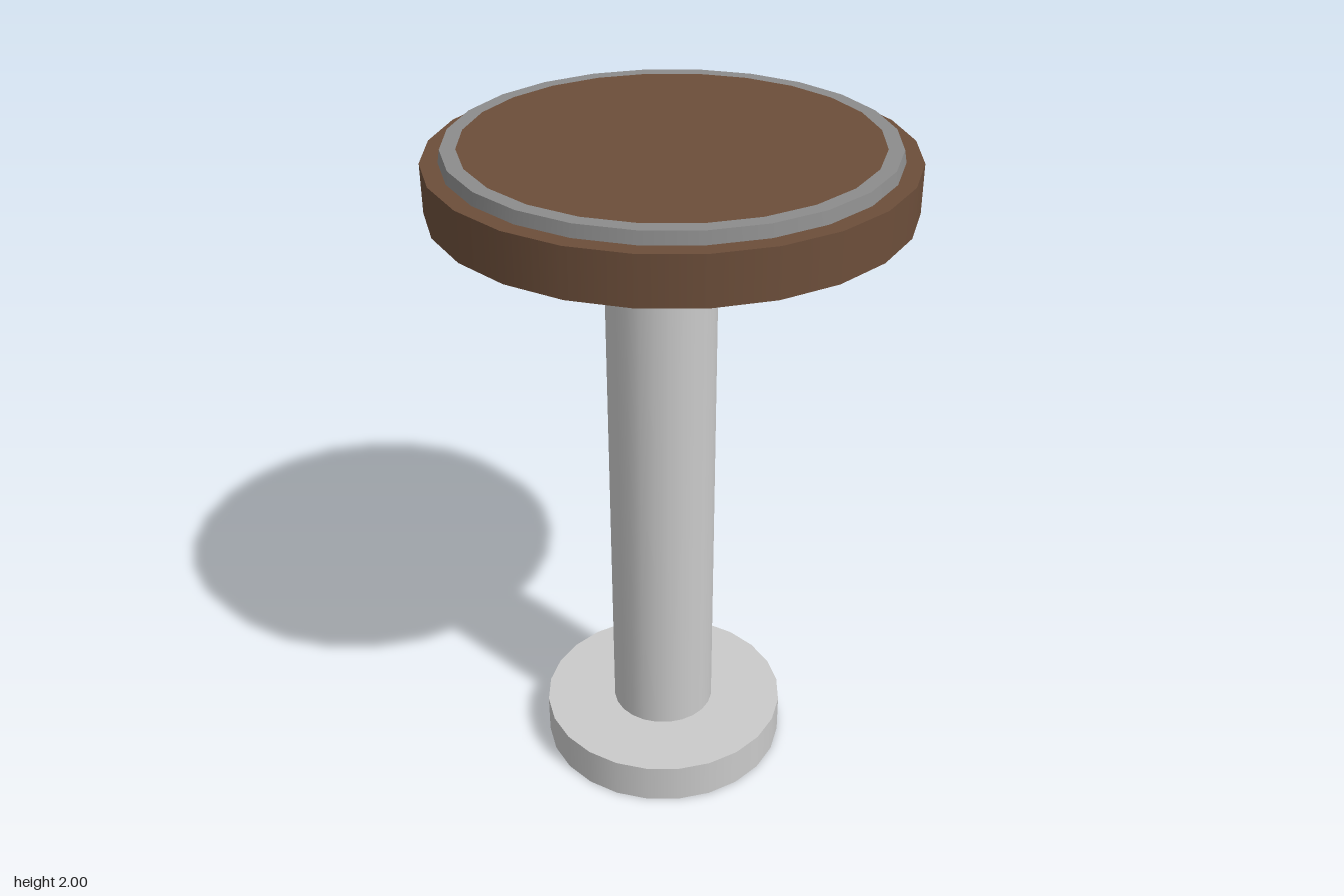
import * as THREE from 'three';

const SIDES = 24;
const TURN = 0.172; // rotation of the seat's facets

export function createModel() {
  const group = new THREE.Group();
  group.name = 'stool';

  const metal = new THREE.MeshStandardMaterial({ name: 'light metal', color: 0xcacaca });
  const leather = new THREE.MeshStandardMaterial({ name: 'brown leather', color: 0x6c4e3a, side: THREE.DoubleSide });
  const trim = new THREE.MeshStandardMaterial({ name: 'grey trim', color: 0x8c8c8c, side: THREE.DoubleSide });

  const add = (name, geometry, material, x, y, z) => {
    const mesh = new THREE.Mesh(geometry, material);
    mesh.name = name;
    mesh.position.set(x, y, z);
    group.add(mesh);
  };

  // Open wall between two heights
  const wall = (name, rTop, rBottom, y0, y1, material) =>
    add(name, new THREE.CylinderGeometry(rTop, rBottom, y1 - y0, SIDES, 1, true, TURN), material, 0, (y0 + y1) / 2, 0);

  // Flat upward ring; its corners line up with the walls
  const ring = (name, inner, outer, y, material) => {
    const geometry = new THREE.RingGeometry(inner, outer, SIDES, 1, TURN - Math.PI / 2);
    geometry.rotateX(-Math.PI / 2);
    add(name, geometry, material, 0, y, 0);
  };

  // Foot and post, set slightly off the seat's centre
  add('base', new THREE.CylinderGeometry(0.376, 0.376, 0.125, SIDES, 1, false, TURN), metal, -0.025, 0.0625, -0.015);
  add('post', new THREE.CylinderGeometry(0.158, 0.158, 1.87, SIDES, 1, false, TURN), metal, -0.027, 1.06, -0.013);

  // Seat: a thin stepped shell, hollow underneath
  wall('seatSide', 0.657, 0.657, 1.83, 1.966, leather);
  ring('seatLedge', 0.609, 0.657, 1.966, leather);
  wall('trimSide', 0.603, 0.609, 1.966, 2, trim);
  ring('trimTop', 0.561, 0.603, 2, trim);
  const pad = new THREE.CircleGeometry(0.561, SIDES, TURN - Math.PI / 2);
  pad.rotateX(-Math.PI / 2);
  add('seatPad', pad, leather, 0, 2, 0);

  return group;
}
